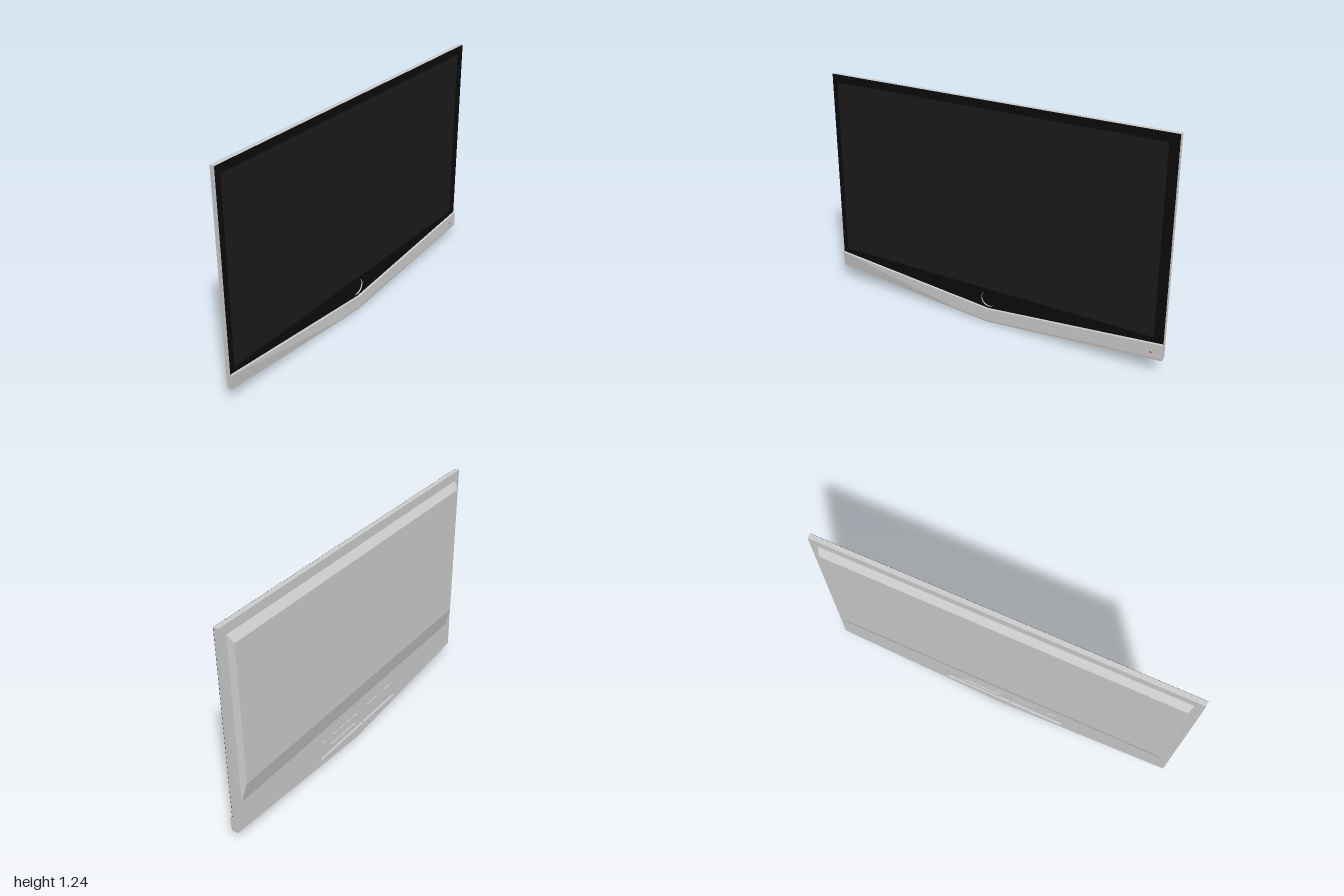
import * as THREE from 'three';

const grey = new THREE.MeshStandardMaterial({ color: 0xcccccc });
const black = new THREE.MeshStandardMaterial({ color: 0x0b0b0b });
const glass = new THREE.MeshStandardMaterial({ color: 0x1a1a1a });
const red = new THREE.MeshStandardMaterial({ color: 0xdd2222 });

// Outline points are [z, y]; the screen faces +x.
const shapeOf = (pts) => new THREE.Shape(pts.map(([z, y]) => new THREE.Vector2(-z, y)));
const rect = (z0, z1, y0, y1) => [[z1, y0], [z0, y0], [z0, y1], [z1, y1]];
const circleHole = (z, y, r) => new THREE.Path().absarc(-z, y, r, 0, Math.PI * 2, true);

function add(group, name, geometry, material) {
  const mesh = new THREE.Mesh(geometry, material);
  mesh.name = name;
  group.add(mesh);
  return mesh;
}

// Extrudes an outline from x0 to x1.
function slab(group, name, pts, x0, x1, material, holes = []) {
  const shape = shapeOf(pts);
  shape.holes.push(...holes);
  const geo = new THREE.ExtrudeGeometry(shape, { depth: x1 - x0, bevelEnabled: false, curveSegments: 32 });
  geo.rotateY(Math.PI / 2).translate(x0, 0, 0);
  return add(group, name, geo, material);
}

function box(group, name, x, y, z, sx, sy, sz, material = grey) {
  const mesh = add(group, name, new THREE.BoxGeometry(sx, sy, sz), material);
  mesh.position.set(x, y, z);
  return mesh;
}

// Joins matching cross-sections with flat faces and closes both ends.
function loft(sections) {
  const p = [];
  const tri = (...v) => v.forEach((q) => p.push(...q));
  const n = sections[0].length;
  for (let i = 0; i + 1 < sections.length; i++) {
    for (let k = 0; k < n; k++) {
      const a = sections[i][k], b = sections[i][(k + 1) % n];
      const d = sections[i + 1][k], c = sections[i + 1][(k + 1) % n];
      tri(a, c, b);
      tri(a, d, c);
    }
  }
  const first = sections[0], last = sections[sections.length - 1];
  for (let k = 1; k + 1 < n; k++) {
    tri(first[0], first[k], first[k + 1]);
    tri(last[0], last[k + 1], last[k]);
  }
  const geo = new THREE.BufferGeometry();
  geo.setAttribute('position', new THREE.Float32BufferAttribute(p, 3));
  geo.computeVertexNormals();
  return geo;
}

export function createModel() {
  const tv = new THREE.Group();
  tv.name = 'television';

  // Housing: a shallow V along the bottom edge
  const W = 0.999, T = 1.235;
  const outline = [[W, 0.08], [0, 0], [-W, 0.08], [-W, T], [W, T]];
  const portHole = shapeOf(rect(-0.33, 0.38, 0.06, 0.18));
  const ring = [0, 0.135, 0.045];
  slab(tv, 'backShell', outline, -0.005, 0.006, grey, [portHole]);
  slab(tv, 'core', outline, 0.006, 0.013, grey);
  slab(tv, 'frontFrame', outline, 0.013, 0.021, grey, [circleHole(...ring)]);

  // Black bezel, screen and the round recess above the bar
  const bezel = [[W, 0.17], [0, 0.08], [-W, 0.17], [-W, T], [W, T]];
  slab(tv, 'bezel', bezel, 0.021, 0.022, black, [circleHole(...ring)]);
  slab(tv, 'screen', rect(-0.947, 0.968, 0.195, 1.19), 0.0218, 0.0225, glass);
  const floor = add(tv, 'recessFloor', new THREE.CircleGeometry(ring[2], 40), black);
  floor.rotation.y = Math.PI / 2;
  floor.position.set(0.0135, ring[1], 0);

  // Bulge on the back with sloping sides
  const bulge = [[-0.035, 0.94, 0.365, 1.145], [-0.004, 0.955, 0.24, 1.185]].map(
    ([x, z, y0, y1]) => [[x, y0, z], [x, y1, z], [x, y1, -z], [x, y0, -z]]);
  add(tv, 'rearBulge', loft(bulge), grey);

  // Front bar, with a diagonal fold on the +z half
  const sections = [-1, 0, 0.2, 0.4, 0.6, 0.8, 1].map((z) => {
    const bottom = 0.08 * Math.abs(z), top = 0.08 + 0.09 * Math.abs(z);
    const t = Math.max(0, (z - 0.2) / 0.8);
    const fold = z < 0 ? bottom + 0.015 : bottom + 0.008 + (top - bottom - 0.01) * t;
    return [[0.02, bottom, z], [0.02, top, z], [0.031, top, z], [0.033, top - 0.002, z],
      [0.033, fold, z], [0.031 - 0.01 * t, bottom, z]];
  });
  add(tv, 'frontBar', loft(sections), grey);
  const led = add(tv, 'standbyLight', new THREE.CylinderGeometry(0.005, 0.005, 0.001, 16), red);
  led.rotation.z = Math.PI / 2;
  led.position.set(0.033, 0.115, -0.94);

  // Connector bay in the back
  const ports = new THREE.Group();
  ports.name = 'connectorBay';
  tv.add(ports);
  for (let i = 0; i < 4; i++) box(ports, 'socket', 0.003, 0.145, -0.19 + i * 0.06, 0.006, 0.018, 0.04);
  box(ports, 'lowerShelf', 0.003, 0.085, -0.12, 0.006, 0.03, 0.22);
  box(ports, 'divider', 0.002, 0.12, 0.06, 0.008, 0.12, 0.012);
  box(ports, 'sideSocket', 0.003, 0.12, -0.29, 0.006, 0.08, 0.03);
  box(ports, 'cableBlock', 0.003, 0.12, 0.16, 0.006, 0.07, 0.1);
  box(ports, 'powerSocket', 0.002, 0.12, 0.31, 0.008, 0.07, 0.05);

  // Rear seam and small buttons along the sides
  box(tv, 'rearSeam', -0.005, 0.7, 0.975, 0.001, 0.88, 0.004);
  for (const y of [0.86, 0.81, 0.755]) box(tv, 'sideButton', 0.004, y, W, 0.004, 0.03, 0.002);
  const seam = box(tv, 'sideSeam', 0.011, 0.47, W, 0.001, 0.5, 0.001);
  seam.rotation.z = 0.025;
  box(tv, 'sideSlot', 0.008, 0.85, -W, 0.004, 0.03, 0.002);

  return tv;
}
